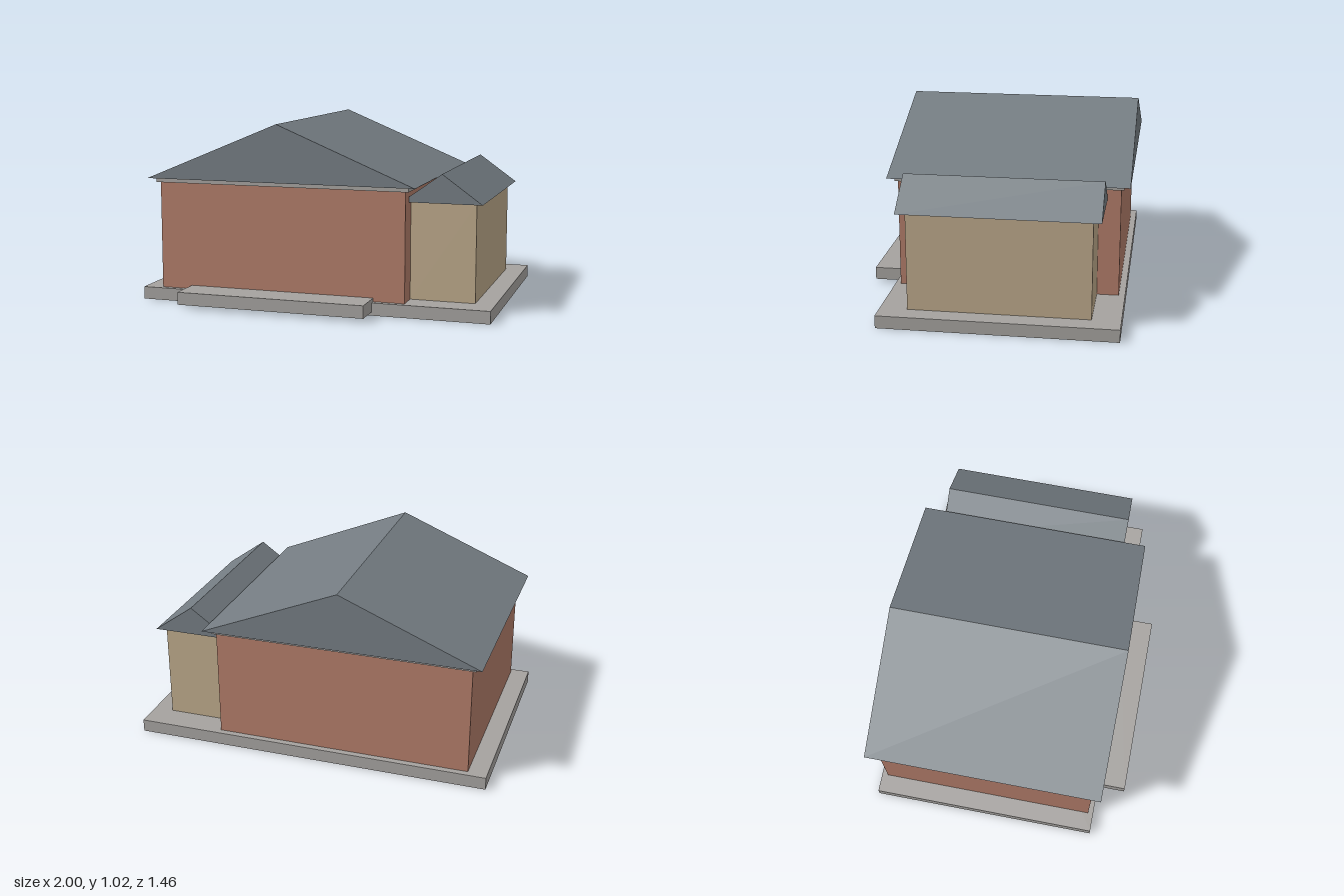
import * as THREE from 'three';

const flat = (name, color) => {
  const m = new THREE.MeshStandardMaterial({ color });
  m.name = name;
  return m;
};

export function createModel() {
  const house = new THREE.Group();
  house.name = 'house';

  const concrete = flat('concrete', 0xa5a29f);
  const brick = flat('brick', 0xb17c69);
  const plaster = flat('plaster', 0xbca88a);
  const slate = flat('slate', 0x747c82);

  // Box given by its extents on each axis
  const block = (name, material, [x0, x1], [y0, y1], [z0, z1]) => {
    const mesh = new THREE.Mesh(new THREE.BoxGeometry(x1 - x0, y1 - y0, z1 - z0), material);
    mesh.position.set((x0 + x1) / 2, (y0 + y1) / 2, (z0 + z1) / 2);
    mesh.name = name;
    house.add(mesh);
  };

  // Solid gable roof with its ridge running along z
  const gable = (name, [x0, x1], [y0, y1], [z0, z1]) => {
    const shape = new THREE.Shape([
      new THREE.Vector2(x0, y0),
      new THREE.Vector2(x1, y0),
      new THREE.Vector2((x0 + x1) / 2, y1),
    ]);
    const geometry = new THREE.ExtrudeGeometry(shape, { depth: z1 - z0, bevelEnabled: false });
    const mesh = new THREE.Mesh(geometry, slate);
    mesh.position.z = z0;
    mesh.name = name;
    house.add(mesh);
  };

  // Ground slab and front step
  block('foundation', concrete, [-1, 1], [0, 0.07], [-0.715, 0.57]);
  block('frontStep', concrete, [-0.715, 0.355], [0.02, 0.09], [0.53, 0.73]);

  // Main house
  block('mainWalls', brick, [-0.895, 0.53], [0.07, 0.675], [-0.68, 0.54]);
  block('eavesBand', concrete, [-0.915, 0.55], [0.675, 0.7], [-0.695, 0.555]);
  gable('mainRoof', [-0.953, 0.593], [0.7, 1.02], [-0.73, 0.59]);

  // Side wing
  block('wingWalls', plaster, [0.53, 0.89], [0.07, 0.61], [-0.56, 0.42]);
  gable('wingRoof', [0.49, 0.93], [0.61, 0.768], [-0.605, 0.467]);

  return house;
}
